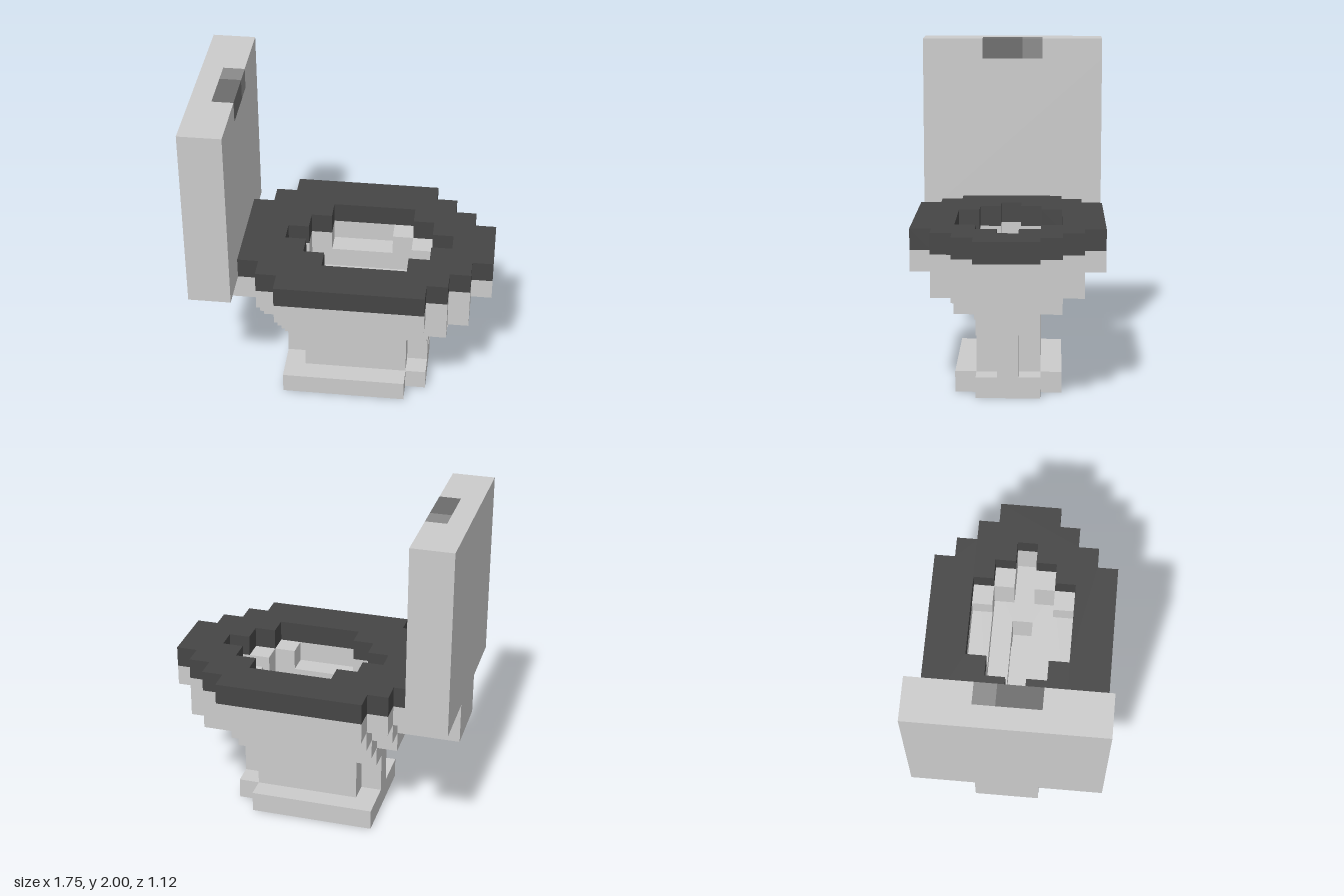
import * as THREE from 'three';

const grey = new THREE.MeshStandardMaterial({ color: 0xcccccc });
const paint = (color) => new THREE.MeshStandardMaterial({ color });
const U = 0.125; // one block

// Stepped outline, mirrored in z. Rows run from the middle outwards: [half width, x from, x to].
function outline(rows) {
  const right = [], left = [];
  let inner = 0;
  for (const [half, x0, x1] of rows) {
    if (inner > 0) {
      right.push([x1, inner]);
      left.push([x0, inner]);
    }
    right.push([x1, half]);
    left.push([x0, half]);
    inner = half;
  }
  const upper = [...right, ...left.reverse()];
  const lower = upper.map(([x, z]) => [x, -z]).reverse();
  return [...upper, ...lower].map(([x, z]) => new THREE.Vector2(x, z));
}

export function createModel() {
  const model = new THREE.Group();

  function add(name, geometry, material) {
    const mesh = new THREE.Mesh(geometry, material);
    mesh.name = name;
    model.add(mesh);
  }

  // Box given by its extents
  function box(name, [x0, x1], [y0, y1], [z0, z1], material = grey) {
    const geometry = new THREE.BoxGeometry(x1 - x0, y1 - y0, z1 - z0);
    geometry.translate((x0 + x1) / 2, (y0 + y1) / 2, (z0 + z1) / 2);
    add(name, geometry, material);
  }

  // Horizontal slab with a stepped outline and an optional stepped opening
  function slab(name, y, height, rows, hole, material = grey) {
    const shape = new THREE.Shape(outline(rows));
    if (hole) shape.holes.push(new THREE.Path(outline(hole)));
    const geometry = new THREE.ExtrudeGeometry(shape, { depth: height, bevelEnabled: false });
    geometry.rotateX(-Math.PI / 2).translate(0, y, 0);
    add(name, geometry, material);
  }

  const z1 = 0.0625, z3 = 0.1875, z5 = 0.3125, z7 = 0.4375, z9 = 0.5625;

  // Foot and pedestal, with the pedestal corners cut away in the middle
  slab('foot', 0, U, [[z3, -0.375, 0.5], [z5, -0.375, 0.375]]);
  slab('pedestal', U, 0.25, [[z1, -0.375, 0.5], [z3, -0.25, 0.375]]);
  slab('pedestalTop', 0.375, U, [[z3, -0.375, 0.5]], [[z1, 0.125, 0.25]]);

  // Bowl: three stepped layers, the basin narrowing downwards
  slab('bowlBottom', 0.5, U,
    [[z3, -0.5, 0.625], [z5, -0.375, 0.5]],
    [[z1, -0.375, 0.25]]);
  slab('bowlMiddle', 0.625, U,
    [[z5, -0.5, 0.75], [z7, -0.375, 0.625]],
    [[z1, -0.375, 0.625], [z3, -0.25, 0.375]]);
  slab('bowlRim', 0.75, U,
    [[z5, -0.625, 0.75], [z7, -0.5, 0.625], [z9, -0.375, 0.5]],
    [[z1, -0.375, 0.625], [z3, -0.25, 0.375], [z5, -0.125, 0.25]]);
  box('bowlLip', [0.75, 0.875], [0.75, 0.875], [-z3, z3], paint(0xd8d8d8));

  // Dark seat ring
  slab('seat', 0.875, U,
    [[z3, -0.625, 0.875], [z5, -0.625, 0.75], [z7, -0.5, 0.625], [z9, -0.375, 0.5]],
    [[z1, -0.375, 0.625], [z3, -0.25, 0.5], [z5, -0.125, 0.375]],
    paint(0x454545));

  // Tank on its bracket
  box('tankBracket', [-0.875, -0.5], [0.625, 0.75], [-z3, z3]);
  box('tankBracketTop', [-0.875, -0.625], [0.75, 0.875], [-z3, z3]);
  box('tank', [-0.875, -0.625], [0.875, 1.875], [-z9, z9]);

  // Tank top, notched for the two-part flush button
  box('tankTopBack', [-0.875, -0.75], [1.875, 2], [-z9, z9]);
  for (const [a, b] of [[-z9, -z3], [z3, z9]]) box('tankTopEnd', [-0.75, -0.625], [1.875, 2], [a, b]);
  box('largeFlushButton', [-0.75, -0.625], [1.875, 2], [-z1, z3], paint(0x6c6c6c));
  box('smallFlushButton', [-0.75, -0.625], [1.875, 2], [-z3, -z1], paint(0x8a8a8a));

  return model;
}
